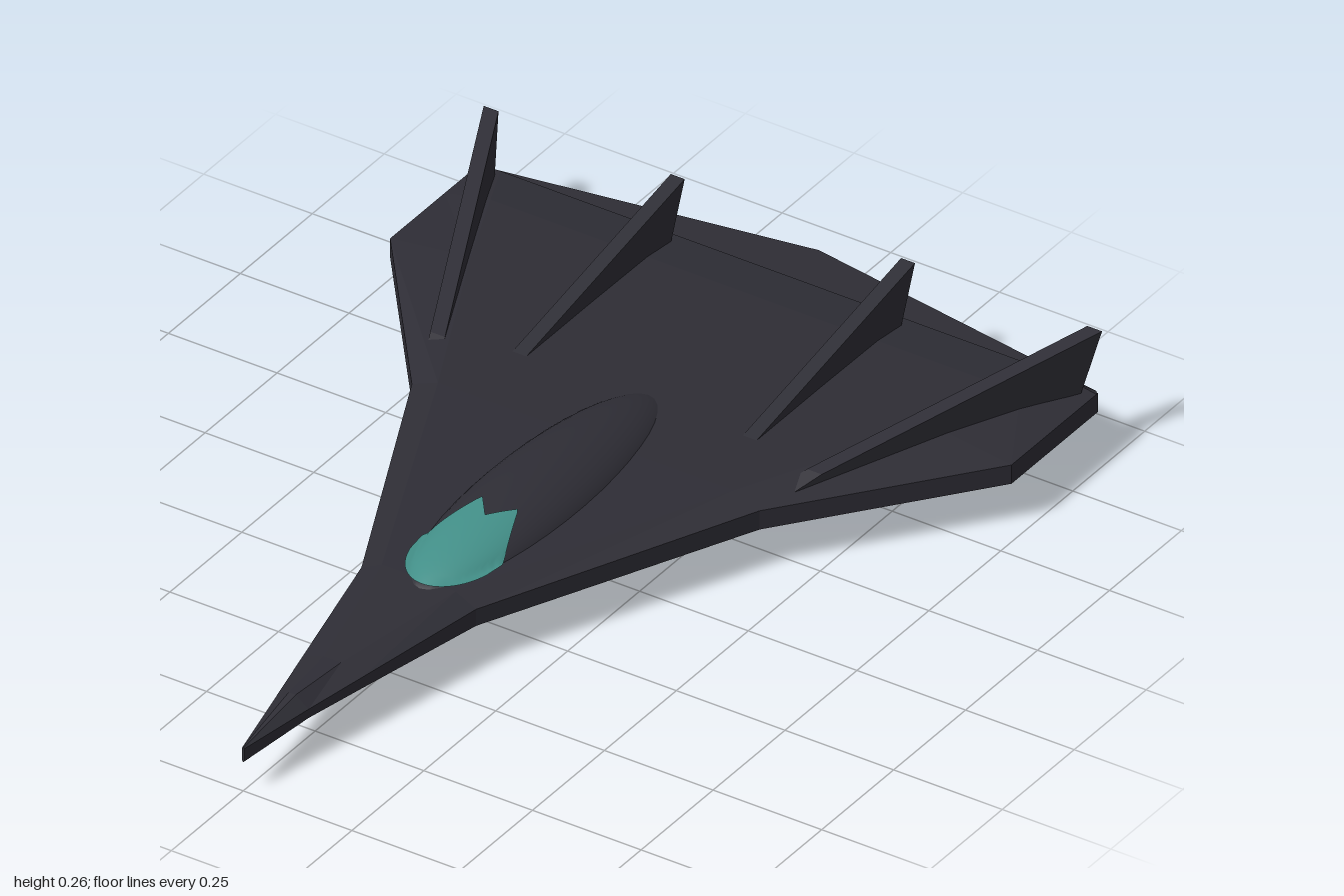
import * as THREE from 'three';

const paint = new THREE.MeshStandardMaterial({ color: 0x2e2d35 });
paint.name = 'dark hull';
const teal = new THREE.MeshStandardMaterial({ color: 0x439089, side: THREE.DoubleSide });
teal.name = 'teal glow';

function add(group, name, geometry, material) {
  const mesh = new THREE.Mesh(geometry, material);
  mesh.name = name;
  group.add(mesh);
  return mesh;
}

// Faceted hull lofted through cross-sections running from nose to tail
function hullGeometry() {
  // z, half width, keel y, underside half width, underside y, rim low, rim high, deck half width, deck y
  const stations = [
    [1.0, 0.003, 0.066, 0.001, 0.067, 0.07, 0.098, 0.001, 0.1],
    [0.83, 0.038, 0.066, 0.018, 0.072, 0.088, 0.108, 0.008, 0.13],
    [0.69, 0.068, 0.066, 0.035, 0.075, 0.09, 0.115, 0.02, 0.132],
    [0.39, 0.132, 0.067, 0.08, 0.078, 0.092, 0.13, 0.085, 0.154],
    [-0.19, 0.4, 0.075, 0.32, 0.085, 0.092, 0.135, 0.34, 0.16],
    [-0.59, 0.715, 0.085, 0.64, 0.086, 0.092, 0.135, 0.53, 0.16],
    [-0.78, 0.715, 0.088, 0.66, 0.087, 0.092, 0.135, 0.61, 0.158],
    [-0.89, 0.715, 0.088, 0.66, 0.088, 0.092, 0.135, 0.66, 0.145],
  ];
  const pos = [], index = [], n = 8;
  for (const [z, w, keel, uw, uy, lo, hi, dw, dy] of stations) {
    const right = [[uw, uy], [w, lo], [w, hi], [dw, dy]];
    const left = right.slice().reverse().map(([x, y]) => [-x, y]);
    for (const [x, y] of [[0, keel], ...right, ...left]) pos.push(x, y, z);
  }
  const m = n + 1;
  for (let i = 0; i < stations.length - 1; i++) {
    for (let j = 0; j < m; j++) {
      const a = i * m + j, b = i * m + (j + 1) % m, c = b + m, d = a + m;
      index.push(a, d, c, a, c, b);
    }
  }
  const last = (stations.length - 1) * m;
  for (let j = 1; j < m - 1; j++) {
    index.push(0, j, j + 1, last, last + j + 1, last + j);
  }
  const g = new THREE.BufferGeometry();
  g.setAttribute('position', new THREE.Float32BufferAttribute(pos, 3));
  g.setIndex(index);
  const flat = g.toNonIndexed();
  flat.computeVertexNormals();
  return flat;
}

// Triangular fin from a (z, y) profile; shear splays it outward toward the tail
function finGeometry(profile, x, shear, thickness) {
  const shape = new THREE.Shape(profile.map(([z, y]) => new THREE.Vector2(z, y)));
  const g = new THREE.ExtrudeGeometry(shape, { depth: thickness, bevelEnabled: false });
  g.translate(0, 0, -thickness / 2).rotateY(-Math.PI / 2);
  const p = g.attributes.position;
  for (let i = 0; i < p.count; i++) {
    p.setX(i, p.getX(i) + x + shear * (-0.26 - p.getZ(i)));
  }
  g.computeVertexNormals();
  return g;
}

// Engine pod: box tapering toward its underside
function podGeometry() {
  const g = new THREE.BoxGeometry(0.18, 0.095, 0.29);
  const p = g.attributes.position;
  for (let i = 0; i < p.count; i++) {
    if (p.getY(i) < 0) {
      p.setX(i, p.getX(i) * 0.84);
      p.setZ(i, p.getZ(i) * 0.84);
    }
  }
  const flat = g.toNonIndexed();
  flat.computeVertexNormals();
  return flat;
}

// Canopy skin lying on the fuselage ellipsoid, with a notched rear edge
function canopyGeometry() {
  const g = new THREE.PlaneGeometry(2, 1, 32, 16);
  const p = g.attributes.position;
  for (let i = 0; i < p.count; i++) {
    const t = p.getX(i), v = p.getY(i) + 0.5, s = Math.abs(t);
    const front = 0.27 + 0.14 * Math.sqrt(Math.max(0, 1 - t * t));
    const back = s < 0.45 ? 0.19 - 0.12 * s : 0.136 + (s - 0.45) * 0.243;
    const x = t * 0.093, z = back + (front - back) * v;
    const r = 1 - (x / 0.12) ** 2 - ((z - 0.01) / 0.43) ** 2;
    const y = Math.max(0.13 + 0.07 * Math.sqrt(Math.max(0, r)), 0.156) + 0.003;
    p.setXYZ(i, 0.02 + x, y, z);
  }
  // Reverse the corners so the skin faces up
  const idx = g.index;
  for (let i = 0; i < idx.count; i += 3) {
    const a = idx.getX(i);
    idx.setX(i, idx.getX(i + 1));
    idx.setX(i + 1, a);
  }
  g.computeVertexNormals();
  return g;
}

export function createModel() {
  const model = new THREE.Group();
  model.name = 'deltaJet';

  add(model, 'hull', hullGeometry(), paint);

  // Smooth central fuselage bulge and its canopy
  const bulge = new THREE.SphereGeometry(1, 40, 24);
  bulge.scale(0.12, 0.07, 0.43).translate(0.02, 0.13, 0.01);
  add(model, 'fuselage', bulge, paint);
  add(model, 'canopy', canopyGeometry(), teal);

  // Pointed tail plate
  const tail = new THREE.Shape([
    new THREE.Vector2(-0.715, -0.885),
    new THREE.Vector2(0, -1),
    new THREE.Vector2(0.715, -0.885),
  ]);
  const tailGeo = new THREE.ExtrudeGeometry(tail, { depth: 0.043, bevelEnabled: false });
  tailGeo.rotateX(Math.PI / 2).translate(0, 0.143, 0);
  add(model, 'tailPlate', tailGeo, paint);

  // Exhaust slot under the tail plate
  add(model, 'exhaustGlow', new THREE.BoxGeometry(0.98, 0.012, 0.008), teal)
    .position.set(0, 0.094, -0.891);

  // Paired fins and engine pods
  const inner = [[-0.3, 0.145], [-0.36, 0.16], [-0.91, 0.265], [-0.86, 0.14]];
  const outer = [[-0.24, 0.13], [-0.33, 0.16], [-0.91, 0.265], [-0.86, 0.12]];
  for (const side of [1, -1]) {
    const label = side > 0 ? 'left' : 'right';
    add(model, label + 'InnerFin', finGeometry(inner, side * 0.265, 0, 0.032), paint);
    add(model, label + 'OuterFin', finGeometry(outer, side * 0.402, side * 0.45, 0.034), paint);
    add(model, label + 'EnginePod', podGeometry(), paint)
      .position.set(side > 0 ? 0.275 : -0.26, side > 0 ? 0.0475 : 0.0555, -0.765);
  }
  return model;
}
